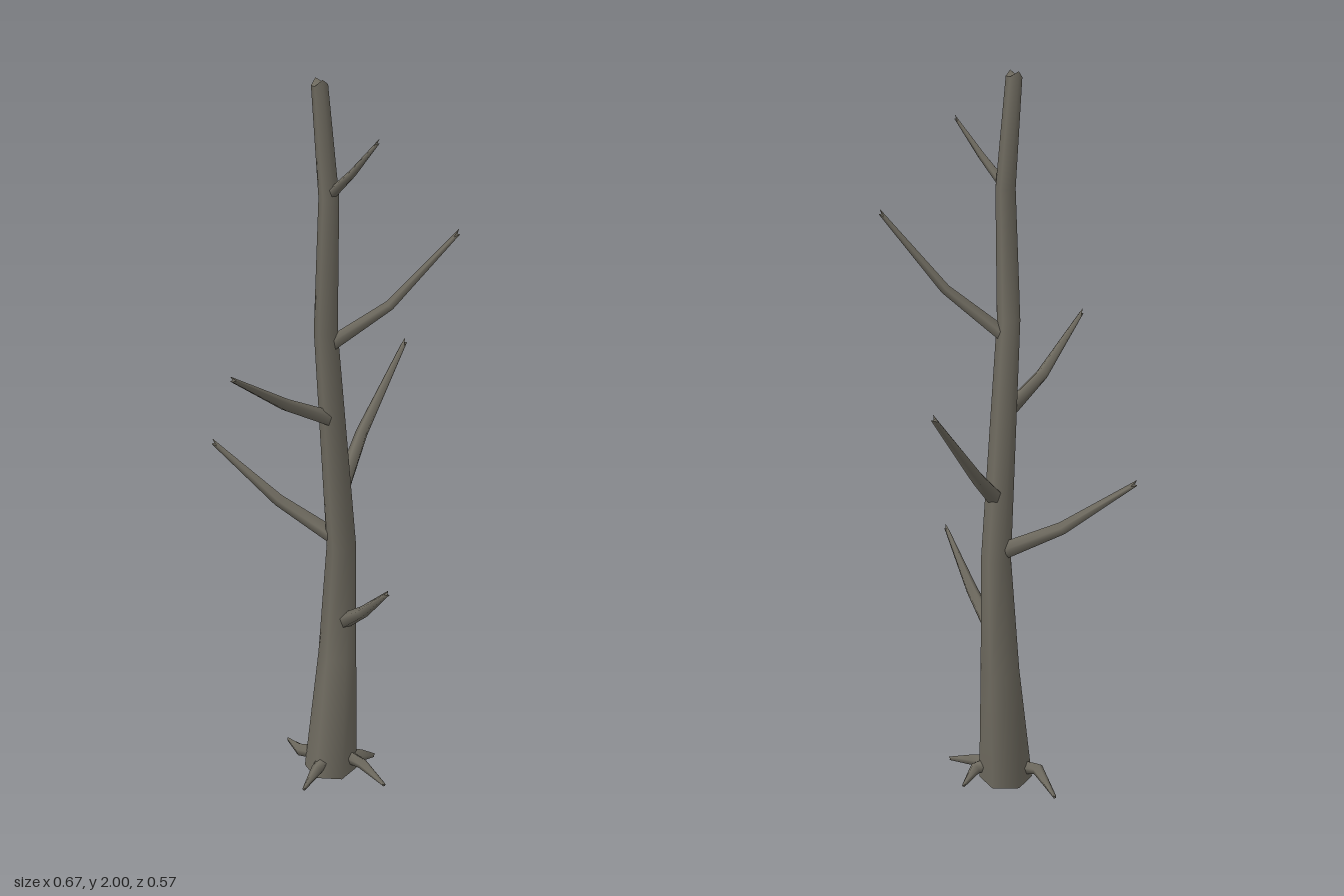
import * as THREE from 'three';

const bark = new THREE.MeshStandardMaterial({ color: 0x6e6a5f });
bark.name = 'weathered bark';

// Tapered limb through stations [x, y, z, radius]; jag makes the end splintered.
function limb(name, stations, sides, ref, jag) {
  const pts = stations.map(s => new THREE.Vector3(s[0], s[1], s[2]));
  const last = pts.length - 1;
  const pos = [], index = [];
  pts.forEach((p, k) => {
    const t = pts[Math.min(k + 1, last)].clone().sub(pts[Math.max(k - 1, 0)]).normalize();
    if (ref.z && k === 0) t.set(0, 1, 0); // trunk foot sits flat on the ground
    const u = ref.clone().addScaledVector(t, -ref.dot(t)).normalize();
    const v = t.clone().cross(u);
    for (let i = 0; i < sides; i++) {
      const a = i / sides * Math.PI * 2, r = stations[k][3];
      const q = p.clone().addScaledVector(u, Math.cos(a) * r).addScaledVector(v, Math.sin(a) * r);
      if (k === last) q.addScaledVector(t, jag * Math.cos(2 * a));
      pos.push(q.x, Math.max(q.y, 0), q.z);
    }
  });
  for (let k = 0; k < last; k++) {
    for (let i = 0; i < sides; i++) {
      const j = (i + 1) % sides, a = k * sides, b = a + sides;
      index.push(a + i, a + j, b + j, a + i, b + j, b + i);
    }
  }
  // End caps on their own vertices so the rims stay sharp
  [0, last].forEach(k => {
    const start = pos.length / 3;
    pos.push(pts[k].x, pts[k].y, pts[k].z);
    for (let i = 0; i < sides * 3; i++) pos.push(pos[k * sides * 3 + i]);
    for (let i = 0; i < sides; i++) {
      const a = start + 1 + i, b = start + 1 + (i + 1) % sides;
      if (k) index.push(start, a, b); else index.push(start, b, a);
    }
  });
  const geo = new THREE.BufferGeometry();
  geo.setAttribute('position', new THREE.Float32BufferAttribute(pos, 3));
  geo.setIndex(index);
  geo.computeVertexNormals();
  const mesh = new THREE.Mesh(geo, bark);
  mesh.name = name;
  return mesh;
}

export function createModel() {
  const tree = new THREE.Group();
  tree.name = 'deadTree';

  // Crooked hexagonal trunk
  tree.add(limb('trunk', [
    [0.008, 0, 0, 0.076], [0.036, 0.36, -0.017, 0.054], [0.047, 0.7, -0.016, 0.041],
    [-0.027, 1.35, 0.041, 0.031], [-0.021, 1.7, 0.046, 0.026], [-0.046, 1.985, 0.045, 0.021],
  ], 6, new THREE.Vector3(0, 0, 1), 0.01));

  // Bare branches: root, bend and broken tip
  const up = new THREE.Vector3(0, 1, 0);
  const branches = [
    [[0.045, 0.475, 0.01, 0.023], [0.048, 0.555, 0.12, 0.017], [0.042, 0.685, 0.275, 0.006]],
    [[0.025, 0.73, -0.035, 0.024], [-0.085, 0.81, -0.145, 0.018], [-0.22, 0.953, -0.28, 0.007]],
    [[0.035, 0.87, 0.005, 0.024], [0.153, 0.985, -0.108, 0.018], [0.322, 1.2, -0.187, 0.007]],
    [[-0.01, 1.1, 0.025, 0.022], [-0.152, 1.175, 0.07, 0.017], [-0.333, 1.3, 0.157, 0.006]],
    [[-0.01, 1.315, 0.045, 0.02], [0.108, 1.43, 0.14, 0.014], [0.238, 1.625, 0.243, 0.006]],
    [[-0.02, 1.71, 0.055, 0.014], [0.002, 1.775, 0.13, 0.01], [0.034, 1.86, 0.203, 0.004]],
  ];
  branches.forEach((b, i) => tree.add(limb('branch' + (i + 1), b, 5, up, 0.013)));

  // Surface roots arching into the ground
  const roots = [
    [[-0.02, 0.04, -0.03, 0.022], [-0.06, 0.037, -0.065, 0.018], [-0.05, 0.006, -0.175, 0.005]],
    [[0.04, 0.045, 0.02, 0.022], [0.088, 0.035, 0.034, 0.018], [0.142, 0.006, 0.01, 0.005]],
    [[0.045, 0.045, 0.035, 0.02], [0.072, 0.036, 0.075, 0.016], [0.102, 0.006, 0.16, 0.005]],
    [[-0.02, 0.045, 0.02, 0.02], [-0.06, 0.036, 0.05, 0.017], [-0.116, 0.006, 0.083, 0.005]],
  ];
  roots.forEach((r, i) => tree.add(limb('root' + (i + 1), r, 5, up, 0.005)));

  return tree;
}
